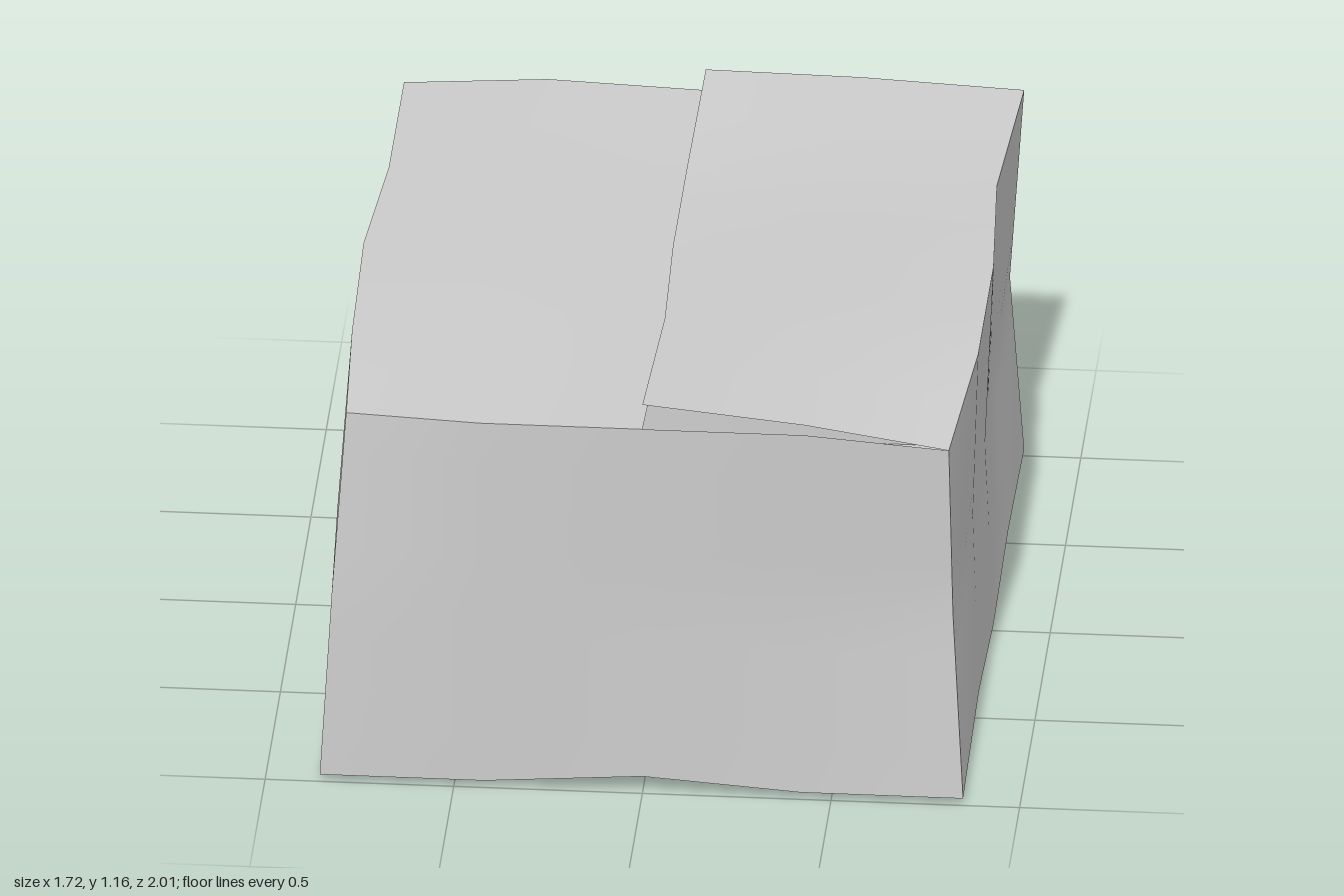
import * as THREE from 'three';

// Polyline lookup: t in 0..1 along evenly spaced points
function at(points, t) {
  const s = t * (points.length - 1);
  const i = Math.min(Math.floor(s), points.length - 2);
  return new THREE.Vector3(...points[i]).lerp(new THREE.Vector3(...points[i + 1]), s - i);
}

// Smooth sheet stretched between four boundary polylines (Coons patch)
function panel(name, material, bottom, top, left, right, nu, nv) {
  const positions = [], index = [];
  for (let j = 0; j <= nv; j++) {
    for (let i = 0; i <= nu; i++) {
      const u = i / nu, v = j / nv;
      const p = at(bottom, u).lerp(at(top, u), v).add(at(left, v).lerp(at(right, v), u));
      const low = at(bottom, 0).lerp(at(bottom, 1), u);
      const high = at(top, 0).lerp(at(top, 1), u);
      positions.push(...p.sub(low.lerp(high, v)).toArray());
      if (i < nu && j < nv) {
        const a = j * (nu + 1) + i, c = a + nu + 1;
        index.push(a, a + 1, c + 1, a, c + 1, c);
      }
    }
  }
  const geometry = new THREE.BufferGeometry();
  geometry.setAttribute('position', new THREE.Float32BufferAttribute(positions, 3));
  geometry.setIndex(index);
  geometry.computeVertexNormals();
  const mesh = new THREE.Mesh(geometry, material);
  mesh.name = name;
  return mesh;
}

export function createModel() {
  const box = new THREE.Group();
  box.name = 'crumpledBox';
  const card = new THREE.MeshStandardMaterial({ color: 0xcccccc, side: THREE.DoubleSide });
  card.name = 'greyCard';

  // Edges run round the box: front, +x side, back, -x side
  const names = ['frontWall', 'leftWall', 'backWall', 'rightWall'];
  const bottoms = [
    [[-0.855, 0, 1], [-0.42, 0, 1], [0, 0.03, 1], [0.42, 0, 1], [0.85, 0, 1]],
    [[0.85, 0, 1], [0.85, 0.05, 0.48], [0.85, 0, 0], [0.85, 0.03, -0.48], [0.85, 0, -1]],
    [[0.85, 0, -1], [0.42, 0, -1], [0, 0, -0.95], [-0.41, 0, -1], [-0.8, 0.05, -0.95]],
    [[-0.8, 0.05, -0.95], [-0.855, 0, -0.5], [-0.855, 0, 0], [-0.855, 0, 0.5], [-0.855, 0, 1]],
  ];
  const tops = [
    [[-0.79, 1.05, 0.94], [-0.43, 1.065, 1], [0, 1.065, 1], [0.43, 1.065, 1], [0.81, 1.02, 0.97]],
    [[0.81, 1.02, 0.97], [0.85, 1.065, 0.5], [0.85, 1.065, 0], [0.82, 1.055, -0.48], [0.85, 1.07, -1]],
    [[0.85, 1.07, -1], [0.42, 1.065, -1], [0, 1.06, -0.95], [-0.41, 1.065, -0.97], [-0.79, 1.05, -0.95]],
    [[-0.79, 1.05, -0.95], [-0.79, 1.055, -0.45], [-0.82, 1.065, 0], [-0.81, 1.065, 0.5], [-0.79, 1.05, 0.94]],
  ];
  // Middle point of each upright corner edge, at the start of each wall
  const bends = [[-0.825, 0.53, 0.98], [0.82, 0.53, 0.96], [0.815, 0.53, -0.965], [-0.855, 0.53, -1]];
  const uprights = bends.map((bend, i) => [bottoms[i][0], bend, tops[i][0]]);

  // Four walls
  names.forEach((name, i) => {
    box.add(panel(name, card, bottoms[i], tops[i], uprights[i], uprights[(i + 1) % 4], 8, 8));
  });

  // Floor
  box.add(panel('floor', card, [...bottoms[2]].reverse(), bottoms[0],
    bottoms[3], [...bottoms[1]].reverse(), 8, 8));

  // Flat top flap, hinged on the -x side
  const seam = [[0, 1.065, 1], [0.012, 1.06, 0.45], [0, 1.06, 0], [0, 1.055, -0.45], [0.01, 1.06, -0.95]];
  box.add(panel('flatFlap', card,
    [...tops[0].slice(0, 2), seam[0]],
    [tops[2][4], tops[2][3], seam[4]],
    [...tops[3]].reverse(), seam, 8, 8));

  // Lifted top flap, hinged on the +x side
  const lifted = [[0, 1.138, 1], [0.015, 1.11, 0.45], [0, 1.09, 0], [0, 1.085, -0.45], [0.01, 1.122, -0.95]];
  box.add(panel('liftedFlap', card,
    [lifted[0], [0.43, 1.095, 1], tops[0][4]],
    [lifted[4], [0.42, 1.09, -1], tops[2][0]],
    lifted, tops[1], 8, 8));

  return box;
}
